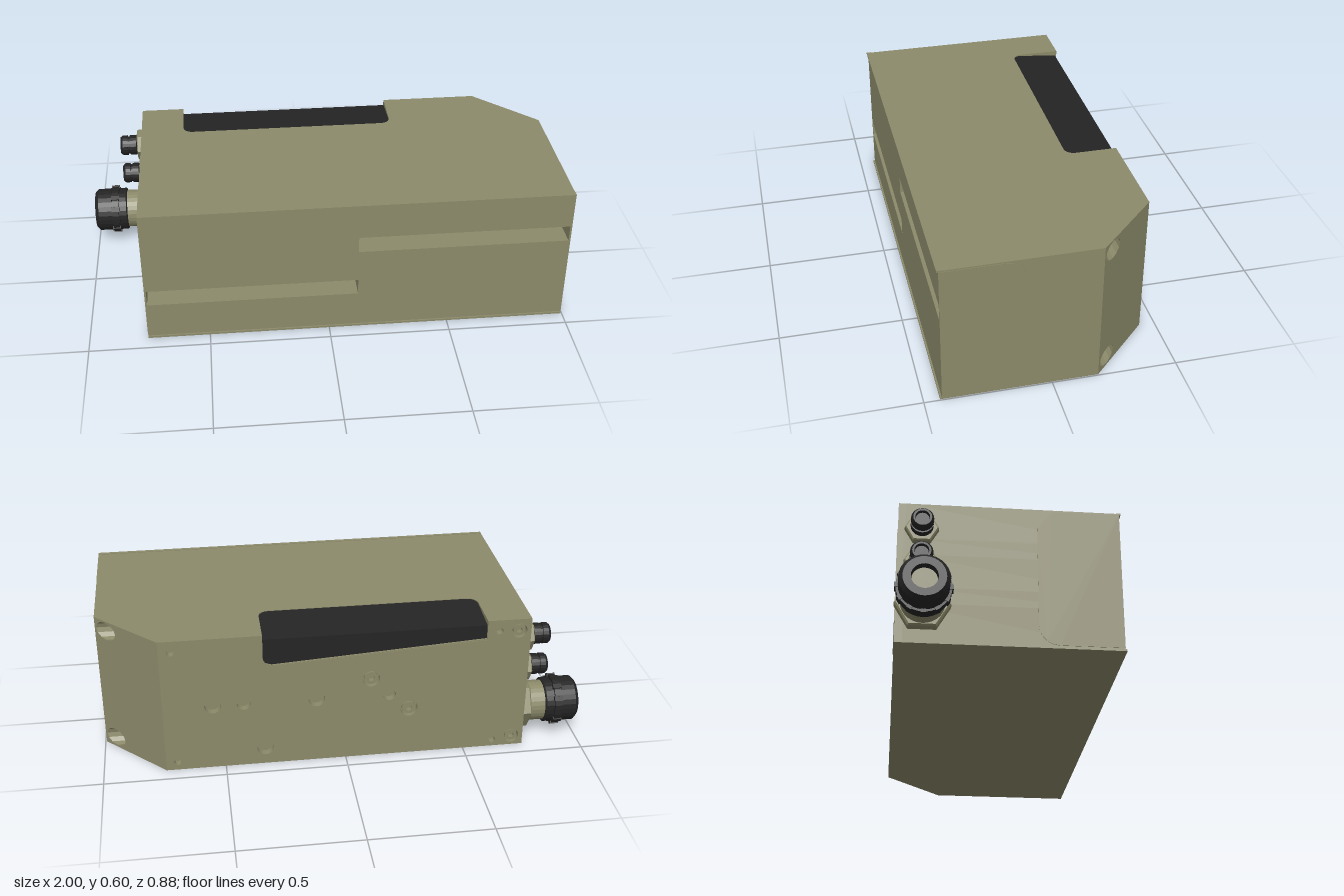
import * as THREE from 'three';

const olive = new THREE.MeshStandardMaterial({ color: 0x8c8a6a });
const black = new THREE.MeshStandardMaterial({ color: 0x242424 });

const X0 = -0.757, X1 = 0.995, XC = 0.745;   // ends and start of the chamfer
const ZF = 0.43, ZB = -0.437, ZC = -0.185;   // front, back, end of the chamfer
const SKIN = 0.03;                           // back panel thickness

export function createModel() {
  const model = new THREE.Group();

  const add = (name, geometry, material = olive, parent = model) => {
    const mesh = new THREE.Mesh(geometry, material);
    mesh.name = name;
    parent.add(mesh);
    return mesh;
  };
  const shapeOf = pts => new THREE.Shape(pts.map(p => new THREE.Vector2(p[0], p[1])));
  const hole = (a, b, r) => new THREE.Path().absarc(a, b, r, 0, Math.PI * 2, true);
  const extrude = (shape, depth, seg = 6) =>
    new THREE.ExtrudeGeometry(shape, { depth, bevelEnabled: false, curveSegments: seg });
  // horizontal slab from an outline of [x, z] points
  const slab = (pts, y0, y1) => {
    const g = extrude(shapeOf(pts.map(([x, z]) => [x, -z])), y1 - y0);
    return g.rotateX(-Math.PI / 2).translate(0, y0, 0);
  };
  // corner rounding, as points on an arc
  const arc = (cx, cz, r, a0, a1) => Array.from({ length: 6 }, (_, i) => {
    const a = a0 + (a1 - a0) * i / 5;
    return [cx + r * Math.cos(a), cz + r * Math.sin(a)];
  });
  const box = (name, x0, x1, y0, y1, z0, z1) =>
    add(name, new THREE.BoxGeometry(x1 - x0, y1 - y0, z1 - z0)
      .translate((x0 + x1) / 2, (y0 + y1) / 2, (z0 + z1) / 2));

  // Housing: stacked slabs, some with a front slot or the window pocket
  const zb = ZB + SKIN, slotZ = ZF - 0.15;
  const windowCurve = [
    ...arc(-0.535, -0.265, 0.04, Math.PI, Math.PI / 2),
    ...arc(0.295, -0.265, 0.04, Math.PI / 2, 0)];
  const layer = (y0, y1, { slot, pocket } = {}) => {
    const pts = [[X0, zb]];
    if (pocket) pts.push([-0.575, zb], ...windowCurve, [0.335, zb]);
    pts.push([XC - 0.005, zb], [XC - 0.005, ZC], [X1, ZC], [X1, ZF]);
    if (slot) pts.push([slot[1], ZF], [slot[1], slotZ], [slot[0], slotZ], [slot[0], ZF]);
    pts.push([X0, ZF]);
    add('housing', slab(pts, y0, y1));
  };
  layer(0, 0.165);
  layer(0.165, 0.235, { slot: [X0 + 0.006, 0.12] });
  layer(0.235, 0.375);
  layer(0.375, 0.445, { slot: [0.12, X1 - 0.006] });
  layer(0.445, 0.45);
  layer(0.45, 0.6, { pocket: true });

  // Thin lips along the front edges
  box('bottomLip', X0, X1, 0, 0.008, ZF - 0.01, 0.437);
  box('topLip', X0, X1, 0.594, 0.602, ZF - 0.01, 0.437);

  // Chamfered corner block with two bores; its end cap is sheared to the slope
  const bores = [0.048, 0.555];
  const corner = shapeOf([[-ZC, 0], [-ZB, 0], [-ZB, 0.6], [-ZC, 0.6]]);
  bores.forEach(y => corner.holes.push(hole(0.23, y, 0.039)));
  const cornerGeo = extrude(corner, 1).rotateY(Math.PI / 2);
  const cp = cornerGeo.attributes.position;
  for (let i = 0; i < cp.count; i++) {
    cp.setX(i, cp.getX(i) > 0.5 ? XC + (cp.getZ(i) - ZB) * (X1 - XC) / (ZC - ZB) : XC - 0.005);
  }
  cornerGeo.computeVertexNormals();
  add('chamferedCorner', cornerGeo);
  bores.forEach(y => {
    add('boreScrew', new THREE.CylinderGeometry(0.028, 0.028, 0.08, 16)
      .rotateZ(Math.PI / 2).translate(0.78, y, -0.23));
  });

  // Back panel with its holes, [x, y, radius]
  const holes = [
    [0.543, 0.293, 0.034], [0.418, 0.294, 0.028], [0.335, 0.076, 0.034],
    [0.12, 0.292, 0.034], [-0.18, 0.289, 0.026],
    [0.696, 0.55, 0.015], [0.696, 0.037, 0.015], [-0.625, 0.552, 0.015], [-0.625, 0.03, 0.015]];
  const screws = [[-0.103, 0.37, 0.036], [-0.263, 0.216, 0.036],
    [-0.708, 0.548, 0.032], [-0.708, 0.043, 0.032]];
  const panel = shapeOf([[X0, 0], [XC, 0], [XC, 0.6], [0.335, 0.6], [0.335, 0.49],
    [0.325, 0.473], [0.3, 0.465], [-0.575, 0.52], [-0.575, 0.6], [X0, 0.6]]);
  [...holes, ...screws].forEach(h => panel.holes.push(hole(...h)));
  add('backPanel', extrude(panel, SKIN, 10).translate(0, 0, ZB));

  // Socket screws: a ring sunk in each counterbore
  screws.forEach(([x, y, r]) => {
    const ring = new THREE.Shape().absarc(0, 0, r * 0.78, 0, Math.PI * 2, false);
    ring.holes.push(hole(0, 0, r * 0.4));
    add('socketScrew', extrude(ring, 0.02, 10).translate(x, y, ZB + 0.006));
  });

  // Slightly raised cover below the window
  const cover = shapeOf([[0.28, 0.455], [-0.124, 0.43], [-0.15, 0.415], [-0.435, 0.1],
    [-0.465, 0.086], [-0.665, 0.086], [-0.735, 0.1], [-0.735, 0.49], [-0.72, 0.505],
    [-0.575, 0.515], [0.28, 0.464]]);
  add('windowCover', extrude(cover, 0.004).translate(0, 0, ZB - 0.002));

  // Dark window, its top falling gently towards the back
  const win = slab([[-0.575, -0.43], ...windowCurve, [0.335, -0.43]], 0.45, 0.597);
  const wp = win.attributes.position;
  for (let i = 0; i < wp.count; i++) {
    if (wp.getY(i) > 0.55) wp.setY(i, 0.598 - 0.02 * (-0.225 - wp.getZ(i)) / 0.205);
  }
  win.computeVertexNormals();
  add('window', win, black);

  // End covers with rounded inner corners, as [z, y] outlines
  const endCover = (name, x, z0, z1, r) => {
    const y0 = 0.012, y1 = 0.594;
    const pts = [[z1, y0], [z1, y1],
      ...arc(z0 + r, y1 - r, r, Math.PI / 2, Math.PI),
      ...arc(z0 + r, y0 + r, r, Math.PI, Math.PI * 1.5)];
    const g = extrude(shapeOf(pts.map(([z, y]) => [-z, y])), 0.004);
    add(name, g.rotateY(Math.PI / 2).translate(x, 0, 0));
  };
  endCover('leftEndCover', X1 - 0.002, 0.104, ZF, 0.08);
  endCover('rightEndCover', X0 - 0.002, 0.104, ZF, 0.08);

  // Connectors: turned parts along -x; profiles are [distance, radius]
  const turned = (name, profile, material, parent, sides = 28) => {
    const g = new THREE.LatheGeometry(profile.map(([d, r]) => new THREE.Vector2(r, d)), sides);
    const flat = g.toNonIndexed();
    flat.computeVertexNormals();
    add(name, flat.rotateZ(Math.PI / 2), material, parent);
  };
  const connector = (name, y, z) => {
    const g = new THREE.Group();
    g.name = name;
    g.position.set(X0, y, z);
    model.add(g);
    return g;
  };

  const gland = connector('cableGland', 0.15, -0.335);
  turned('glandNut', [[0, 0.108], [0.03, 0.108], [0.036, 0.1], [0.036, 0]], olive, gland, 6);
  turned('glandBarrel', [[0.03, 0.085], [0.11, 0.085]], olive, gland);
  turned('glandCap', [[0.098, 0], [0.098, 0.09], [0.103, 0.095], [0.137, 0.095], [0.137, 0.104],
    [0.165, 0.104], [0.165, 0.095], [0.228, 0.095], [0.243, 0.08], [0.243, 0.05],
    [0.21, 0.048]], black, gland);
  turned('glandInsert', [[0.2, 0.05], [0.215, 0.048], [0.215, 0]], olive, gland);
  for (let i = 0; i < 12; i++) {   // grip ribs
    const rib = add('gripRib', new THREE.BoxGeometry(0.036, 0.016, 0.02).translate(0, 0.1, 0), black, gland);
    rib.position.x = -0.151;
    rib.rotation.x = i * Math.PI / 6;
  }

  [0.335, 0.48].forEach(y => {
    const plug = connector('smallConnector', y, -0.345);
    turned('plugNut', [[0, 0.066], [0.026, 0.066], [0.03, 0.06], [0.03, 0]], olive, plug, 6);
    turned('plugBody', [[0.028, 0.036], [0.034, 0.044], [0.062, 0.044], [0.062, 0.038],
      [0.072, 0.038], [0.072, 0.044], [0.094, 0.044], [0.104, 0.036], [0.104, 0.028],
      [0.09, 0.026], [0.09, 0]], black, plug, 20);
  });

  return model;
}
